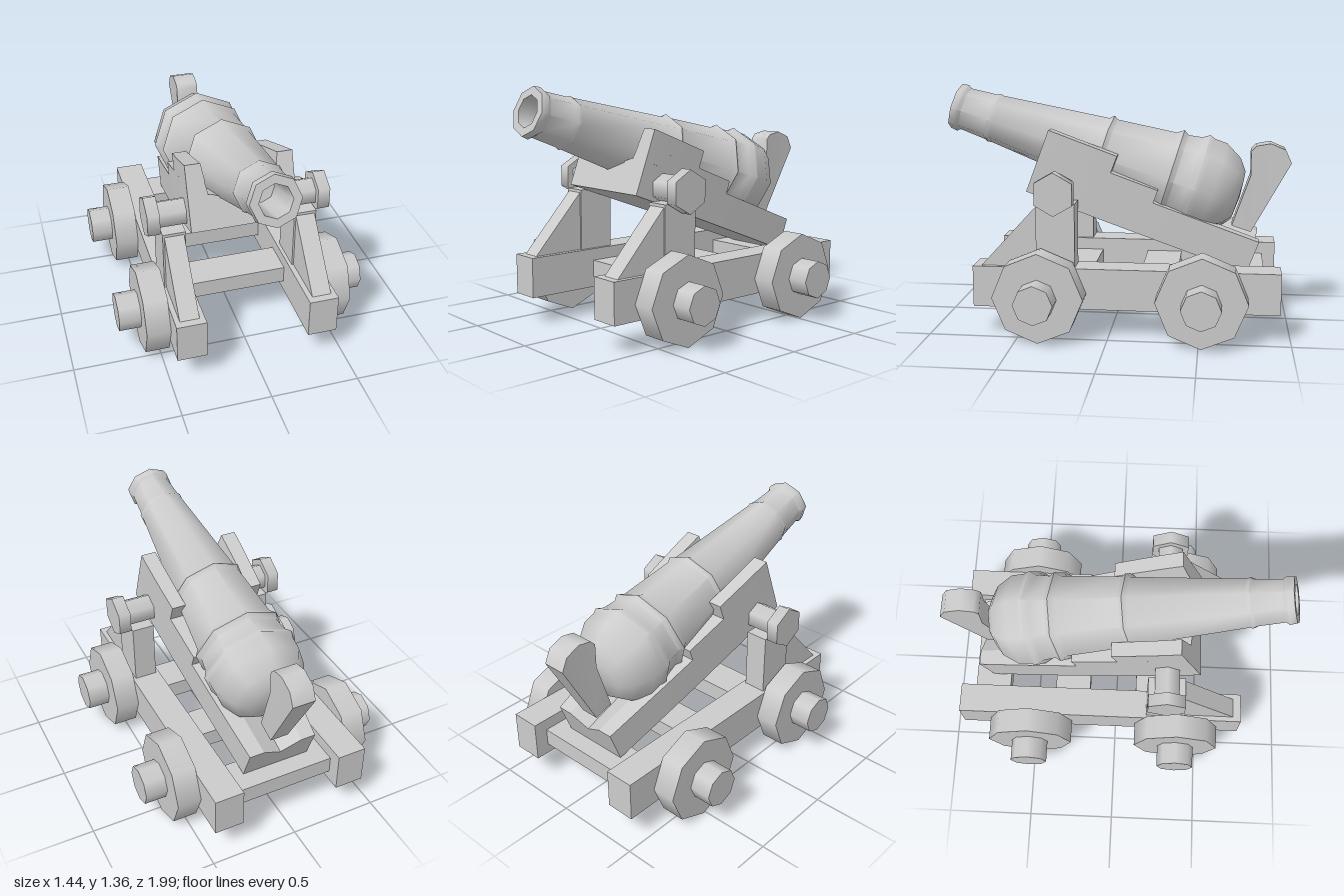
import * as THREE from 'three';
import { toCreasedNormals } from 'three/addons/utils/BufferGeometryUtils.js';

const material = new THREE.MeshStandardMaterial({ color: 0xcccccc });

export function createModel() {
  const model = new THREE.Group();

  const add = (name, geometry, x = 0, y = 0, z = 0, parent = model) => {
    const mesh = new THREE.Mesh(geometry, material);
    mesh.name = name;
    mesh.position.set(x, y, z);
    parent.add(mesh);
    return mesh;
  };
  const shapeOf = (points) => new THREE.Shape(points.map(([a, b]) => new THREE.Vector2(a, b)));

  // Prism lying along x, with a corner pointing up
  const rod = (radius, length, sides) =>
    new THREE.CylinderGeometry(radius, radius, length, sides, 1, false, Math.PI / 2).rotateZ(Math.PI / 2);

  // Side profile given as [z, y], extruded across x and centred
  const sideProfile = (points, width) =>
    new THREE.ExtrudeGeometry(shapeOf(points), { depth: width, bevelEnabled: false })
      .translate(0, 0, -width / 2)
      .rotateY(-Math.PI / 2);

  // Barrel: eight-sided lathe, breech to muzzle, then down into the bore
  const barrelProfile = [
    [0, -1.74], [0.15, -1.725], [0.215, -1.675], [0.272, -1.575],
    [0.275, -1.5], [0.288, -1.47], [0.262, -1.43], [0.25, -1.35],
    [0.27, -1.32], [0.243, -1.28], [0.212, -0.935], [0.227, -0.91],
    [0.205, -0.885], [0.142, -0.255], [0.147, -0.235], [0.137, -0.215],
    [0.125, -0.06], [0.14, -0.04], [0.134, 0], [0.088, 0],
    [0.082, -0.04], [0.075, -0.25], [0, -0.25],
  ].map(([r, y]) => new THREE.Vector2(r, y));
  const barrel = add('barrel', toCreasedNormals(new THREE.LatheGeometry(barrelProfile, 8), 0.95), 0, 1.235, 0.95);
  barrel.rotation.x = Math.PI / 2 - 0.296;

  // Cradle: tilted bed with stepped cheeks, narrowing towards the tail
  const cradle = new THREE.Group();
  cradle.name = 'cradle';
  cradle.position.set(0, 0.786, 0.48);
  cradle.rotation.x = -0.36;
  model.add(cradle);
  const cradleLength = 1.32;
  const cradlePart = (section, length) => {
    const geometry = new THREE.ExtrudeGeometry(shapeOf(section), { depth: length, steps: 6, bevelEnabled: false });
    geometry.translate(0, 0, -length);
    const p = geometry.attributes.position;
    for (let i = 0; i < p.count; i++) {
      const t = Math.max(0, -p.getZ(i) / cradleLength);
      p.setX(i, p.getX(i) * (0.3 - 0.1 * Math.pow(t, 1.3)));
    }
    geometry.computeVertexNormals();
    return toCreasedNormals(geometry, 0.4);
  };
  add('cradleBed', cradlePart(
    [[-1, 0], [1, 0], [1, 0.195], [0.57, 0.195], [0, 0.13], [-0.57, 0.195], [-1, 0.195]], cradleLength), 0, 0, 0, cradle);
  for (const side of [1, -1]) {
    const cheek = (bottom, top, inner) =>
      [[side * inner, bottom], [side, bottom], [side, top], [side * (inner + 0.05), top]];
    add('cheekLower', cradlePart(cheek(0.19, 0.27, 0.62), 0.685), 0, 0, 0, cradle);
    add('cheekUpper', cradlePart(cheek(0.27, 0.37, 0.66), 0.405), 0, 0, 0, cradle);
  }

  // Both sides of the carriage
  for (const side of [1, -1]) {
    add('sideBeam', new THREE.BoxGeometry(0.168, 0.23, 1.695), side * 0.376, 0.275, -0.092);
    add('post', new THREE.BoxGeometry(0.13, 0.4, 0.215), side * 0.377, 0.545, 0.293);
    add('brace', sideProfile([[0.39, 0.36], [0.74, 0.36], [0.71, 0.39], [0.39, 0.74]], 0.11), side * 0.377);
    add('trunnion', rod(0.08, 0.25, 6), side * 0.345, 0.81, 0.29);
    add('trunnionCap', rod(0.12, 0.07, 6), side * 0.485, 0.81, 0.29);
    for (const z of [0.37, -0.515]) {
      add('wheel', rod(0.25, 0.137, 8), side * 0.527, 0.25, z);
      add('hub', rod(0.108, 0.15, 8), side * 0.645, 0.25, z);
    }
  }

  // Cross bars joining the beams
  for (const z of [0.225, -0.265, -0.755]) {
    add('crossBar', new THREE.BoxGeometry(0.62, 0.1, 0.21), 0, 0.27, z);
  }

  // Elevating wedge with its flared handle, slimmer at the foot
  const handle = sideProfile([
    [-0.67, 0.565], [-0.78, 0.53], [-1, 0.935], [-0.965, 1.01],
    [-0.88, 1.045], [-0.80, 1.03], [-0.772, 1.0], [-0.772, 0.86],
  ], 0.132);
  const hp = handle.attributes.position;
  for (let i = 0; i < hp.count; i++) {
    if (hp.getY(i) < 0.7) hp.setX(i, hp.getX(i) * 0.8);
  }
  handle.computeVertexNormals();
  add('wedgeHandle', toCreasedNormals(handle, 0.8));

  return model;
}
